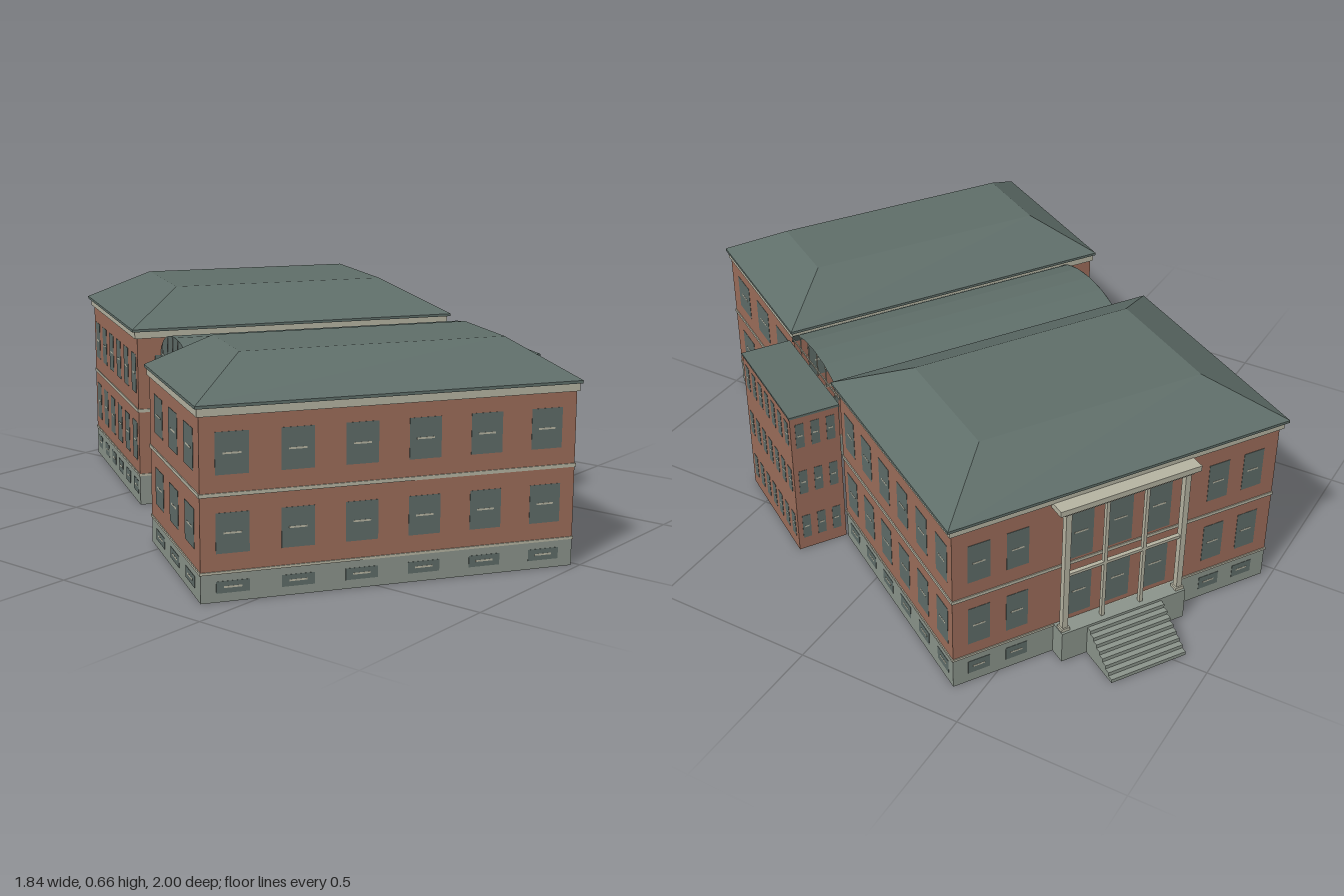
import * as THREE from 'three';

const mat = (name, color, side = THREE.FrontSide) => {
  const m = new THREE.MeshStandardMaterial({ color, side });
  m.name = name;
  return m;
};

export function createModel() {
  const brick = mat('brick', 0x9c6d5a, THREE.DoubleSide);
  const slate = mat('slate', 0x5f6e69, THREE.DoubleSide);
  const stone = mat('stone', 0x8b948b, THREE.DoubleSide);
  const cream = mat('cream', 0xb6b4a2);
  const glass = mat('glass', 0x5f6c68, THREE.DoubleSide);

  const add = (parent, name, geo, material, x = 0, y = 0, z = 0) => {
    const m = new THREE.Mesh(geo, material);
    m.name = name;
    m.position.set(x, y, z);
    parent.add(m);
    return m;
  };
  // box given by its bottom height y0 and top height y1
  const block = (parent, name, material, w, y0, y1, d, x = 0, z = 0) =>
    add(parent, name, new THREE.BoxGeometry(w, y1 - y0, d), material, x, (y0 + y1) / 2, z);

  const group = (parent, name, x = 0, z = 0, turn = 0) => {
    const g = new THREE.Group();
    g.name = name;
    g.position.set(x, 0, z);
    g.rotation.y = turn;
    parent.add(g);
    return g;
  };

  // one window: a flush pane and a short cream bar across the middle
  const addWindow = (face, x, y0, y1, w) => {
    block(face, 'windowPane', glass, w, y0, y1, 0.002, x);
    const mid = (y0 + y1) / 2;
    block(face, 'windowBar', cream, w * 0.55, mid - 0.0025, mid + 0.0025, 0.003, x);
  };
  const spread = (n, step) => Array.from({ length: n }, (_, i) => (i - (n - 1) / 2) * step);
  const addWindows = (face, xs, rows, w) => {
    for (const x of xs) for (const [y0, y1] of rows) addWindow(face, x, y0, y1, w);
  };

  // four wall faces, each with local x along the wall and z outwards
  const faces = (parent, w, d) => ({
    front: group(parent, 'frontFace', 0, d / 2, 0),
    back: group(parent, 'backFace', 0, -d / 2, Math.PI),
    left: group(parent, 'leftFace', w / 2, 0, Math.PI / 2),
    right: group(parent, 'rightFace', -w / 2, 0, -Math.PI / 2),
  });
  // thin walls around an opening, without top or bottom
  const addShell = (f, name, material, w, d, height) => {
    for (const [k, len] of [['front', w], ['back', w], ['left', d], ['right', d]]) {
      add(f[k], name, new THREE.PlaneGeometry(len, height), material, 0, height / 2, 0);
    }
  };

  // hipped roof with a flat top: a box whose top corners are drawn inwards
  const addRoof = (parent, w, d, y0, y1, inset) => {
    const fascia = 0.008;
    block(parent, 'roofEdge', slate, w, y0, y0 + fascia, d);
    const h = y1 - y0 - fascia;
    const geo = new THREE.BoxGeometry(w, h, d);
    const p = geo.attributes.position;
    for (let i = 0; i < p.count; i++) {
      if (p.getY(i) > 0) {
        p.setX(i, p.getX(i) - Math.sign(p.getX(i)) * inset);
        p.setZ(i, p.getZ(i) - Math.sign(p.getZ(i)) * inset);
      }
    }
    geo.computeVertexNormals();
    add(parent, 'hippedRoof', geo, slate, 0, y0 + fascia + h / 2, 0);
  };

  // walls, bands, cornice and roof of a main wing, open below the ground floor
  const addWing = (parent, name, o) => {
    const g = group(parent, name, o.x, o.z);
    const f = faces(g, o.w, o.d);
    addShell(f, 'foundation', stone, o.w, o.d, o.base);
    block(g, 'groundFloor', cream, o.w - 0.004, o.base - 0.004, o.base + 0.002, o.d - 0.004);
    block(g, 'brickWalls', brick, o.w, o.base, o.eave, o.d);
    for (const [k, len] of [['front', o.w], ['back', o.w], ['left', o.d], ['right', o.d]]) {
      block(f[k], 'baseBand', cream, len + 0.005, o.base - 0.007, o.base, 0.003, 0, 0.0015);
      block(f[k], 'middleBand', cream, len + 0.005, o.mid - 0.005, o.mid + 0.005, 0.003, 0, 0.0015);
    }
    block(g, 'cornice', cream, o.w + o.over, o.eave - 0.022, o.eave, o.d + o.over);
    addRoof(g, o.w + 2 * o.over, o.d + 2 * o.over, o.eave, o.top, o.inset);
    return f;
  };

  const model = new THREE.Group();
  model.name = 'building';
  const site = group(model, 'site', 0, 0, -0.568);

  // front wing
  const frontWing = addWing(site, 'frontWing', {
    x: -0.0135, z: 0.553, w: 1.053, d: 0.567, base: 0.083, mid: 0.286,
    eave: 0.514, top: 0.625, over: 0.012, inset: 0.161,
  });
  const frontRows = [[0.024, 0.056], [0.13, 0.238], [0.338, 0.45]];
  for (const k of ['front', 'back']) addWindows(frontWing[k], spread(6, 0.176), frontRows, 0.09);
  for (const k of ['left', 'right']) addWindows(frontWing[k], spread(3, 0.174), frontRows, 0.1);

  // back wing
  const backWing = addWing(site, 'backWing', {
    x: 0.0165, z: -0.48, w: 1.017, d: 0.72, base: 0.1, mid: 0.302,
    eave: 0.552, top: 0.662, over: 0.018, inset: 0.182,
  });
  const backRows = [[0.03, 0.072], [0.137, 0.26], [0.352, 0.475]];
  for (const k of ['left', 'right']) addWindows(backWing[k], spread(6, 0.12), backRows, 0.066);
  addWindows(backWing.front, spread(8, 0.12), backRows, 0.066);
  addWindows(backWing.back, [-0.43, -0.315, 0.315, 0.43], backRows, 0.066);

  // entrance portico on the back wing
  const portico = group(backWing.back, 'portico');
  block(portico, 'porticoBase', stone, 0.4, 0, 0.1, 0.05, 0, 0.025);
  block(portico, 'porticoTop', cream, 0.435, 0.515, 0.532, 0.05, 0, 0.025);
  block(portico, 'porticoFrieze', cream, 0.4, 0.505, 0.515, 0.036, 0, 0.024);
  block(portico, 'porticoBeam', cream, 0.38, 0.286, 0.295, 0.012, 0, 0.028);
  for (const x of [-0.185, 0.185]) {
    block(portico, 'cornerColumn', cream, 0.017, 0.1, 0.505, 0.018, x, 0.03);
    block(portico, 'columnFoot', cream, 0.026, 0.1, 0.11, 0.026, x, 0.03);
  }
  for (const x of [-0.062, 0.062]) block(portico, 'innerColumn', cream, 0.01, 0.1, 0.505, 0.012, x, 0.028);
  addWindows(portico, spread(3, 0.123), [[0.115, 0.272], [0.315, 0.485]], 0.076);

  // entrance steps
  const stepCount = 8;
  for (let i = 0; i < stepCount; i++) {
    const depth = (0.135 * (stepCount - i)) / stepCount;
    block(portico, 'step', stone, 0.24, i * 0.0115, (i + 1) * 0.0115, depth, 0, 0.05 + depth / 2);
  }

  // glazed hall between the wings, under a faceted elliptical barrel roof
  const hall = group(site, 'hall', 0, 0.0745);
  const half = 0.193, rise = 0.08, spring = 0.48;
  const barrel = new THREE.CylinderGeometry(1, 1, 0.94, 8, 1, true, 0, Math.PI)
    .rotateZ(Math.PI / 2).scale(1, rise, half).toNonIndexed();
  barrel.computeVertexNormals();
  add(hall, 'barrelRoof', barrel, slate, 0.052, spring, 0);
  const archTop = (x) => spring + rise * Math.sqrt(1 - (x / half) ** 2) - 0.004;

  // tall glass wall with a grid of bars at the right end
  const glassWall = group(hall, 'archedGlassWall', -0.418, 0, -Math.PI / 2);
  const arch = new THREE.Shape();
  arch.moveTo(-half, 0);
  arch.lineTo(half, 0);
  arch.lineTo(half, spring);
  arch.absellipse(0, spring, half, rise, 0, Math.PI, false);
  arch.closePath();
  add(glassWall, 'archedGlass', new THREE.ShapeGeometry(arch, 8), glass);
  for (const x of spread(6, 0.066)) block(glassWall, 'uprightBar', stone, 0.006, 0, archTop(x), 0.002, x);
  for (const y of spread(5, 0.095)) block(glassWall, 'crossBar', stone, 2 * half, y + 0.287, y + 0.293, 0.002);

  // open arch with slim bars above the stair block
  const openArch = group(hall, 'openArch', 0.515, 0, Math.PI / 2);
  for (const x of spread(5, 0.066)) block(openArch, 'archBar', cream, 0.004, 0.47, archTop(x), 0.003, x);
  block(openArch, 'archSill', cream, 2 * half, 0.484, 0.489, 0.003);

  // brick stair block at the left end of the hall, open below
  const tower = group(site, 'stairBlock', 0.604, 0.08);
  const towerFaces = faces(tower, 0.152, 0.384);
  addShell(towerFaces, 'stairBlockWall', brick, 0.152, 0.384, 0.478);
  block(tower, 'stairBlockRoof', slate, 0.156, 0.478, 0.485, 0.388);
  const towerRows = [[0.04, 0.122], [0.205, 0.288], [0.372, 0.455]];
  addWindows(towerFaces.left, spread(7, 0.053), towerRows, 0.028);
  for (const k of ['front', 'back']) addWindows(towerFaces[k], spread(3, 0.048), towerRows, 0.026);

  return model;
}
